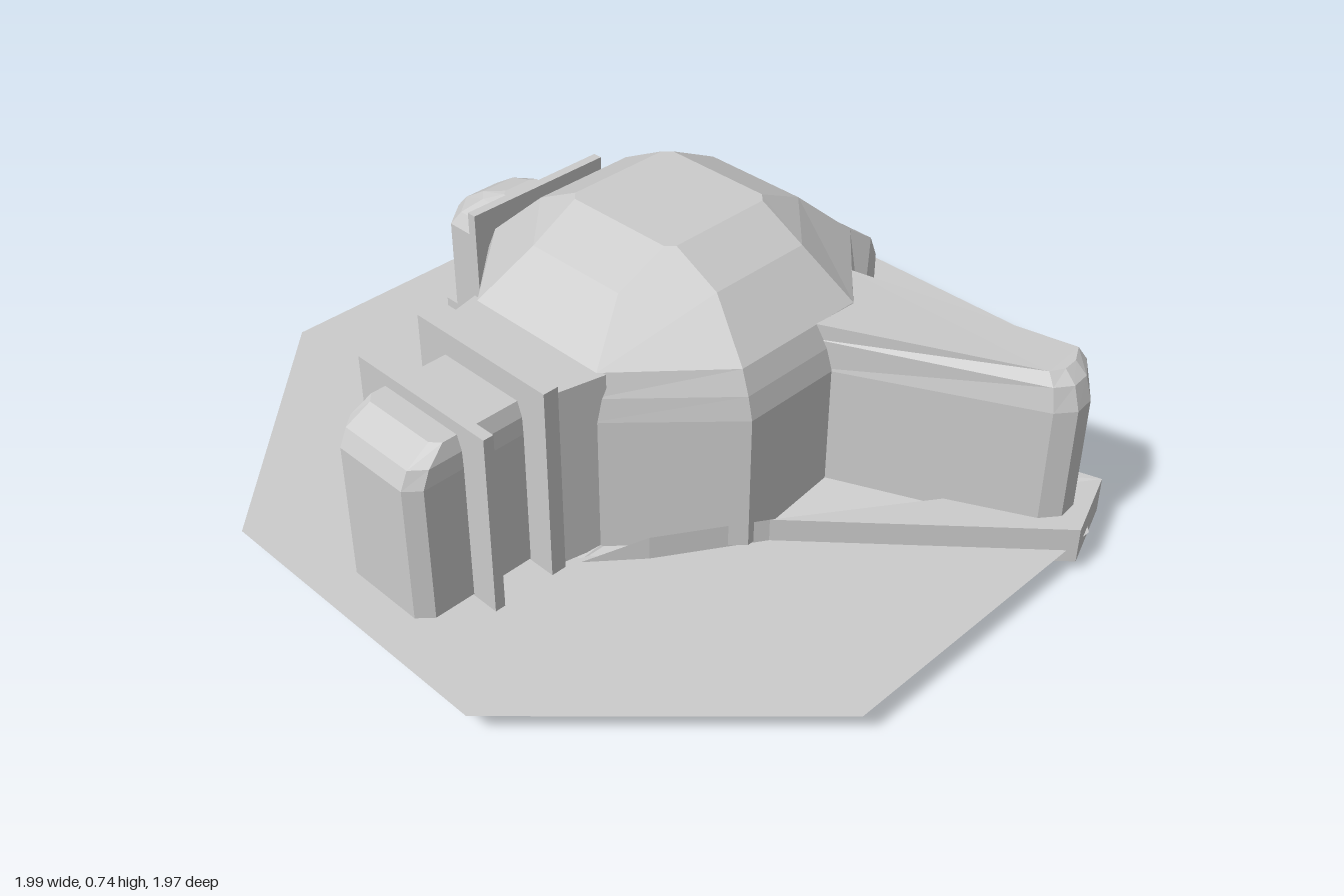
import * as THREE from 'three';

export function createModel() {
  const model = new THREE.Group();
  const mat = new THREE.MeshStandardMaterial({ color: 0xcccccc, flatShading: true });
  const sheet = new THREE.MeshStandardMaterial({ color: 0xcccccc, side: THREE.DoubleSide });

  const add = (name, geo, x = 0, y = 0, z = 0, m = mat) => {
    const mesh = new THREE.Mesh(geo, m);
    mesh.name = name;
    mesh.position.set(x, y, z);
    model.add(mesh);
  };

  // Box given by its limits
  const box = (name, x0, x1, y0, y1, z0, z1) =>
    add(name, new THREE.BoxGeometry(x1 - x0, y1 - y0, z1 - z0),
      (x0 + x1) / 2, (y0 + y1) / 2, (z0 + z1) / 2);

  // Flat-faced skin over stacked rings, counter-clockwise from above, with both ends closed
  const loft = (rings) => {
    const pos = [];
    const tri = (a, b, c) => pos.push(...a, ...b, ...c);
    const n = rings[0].length;
    for (let r = 0; r < rings.length - 1; r++) {
      const lo = rings[r], hi = rings[r + 1];
      for (let i = 0; i < n; i++) {
        const j = (i + 1) % n;
        tri(lo[i], lo[j], hi[j]);
        tri(lo[i], hi[j], hi[i]);
      }
    }
    const bottom = rings[0], top = rings[rings.length - 1];
    for (let i = 1; i < n - 1; i++) {
      tri(top[0], top[i], top[i + 1]);
      tri(bottom[0], bottom[i + 1], bottom[i]);
    }
    const geo = new THREE.BufferGeometry();
    geo.setAttribute('position', new THREE.Float32BufferAttribute(pos, 3));
    geo.computeVertexNormals();
    return geo;
  };

  // Eight-sided ring: height, half sizes, half lengths of the straight sides, front reach
  const oct = ([y, ax, az, cx, cz, front = az]) => [
    [ax, cz], [ax, -cz], [cx, -az], [-cx, -az], [-ax, -cz], [-ax, cz], [-cx, front], [cx, front],
  ].map(([x, z]) => [x, y, z]);

  // Ground sheet
  const ground = new THREE.CircleGeometry(1.068, 8, Math.PI / 8);
  ground.rotateX(-Math.PI / 2);
  add('ground', ground, -0.01, 0.068, 0, sheet);

  // Domed main building, bulging out at the back, with a square crown
  add('dome', loft([
    [0.072, 0.45, 0.535, 0.2, 0.19, 0.45],
    [0.43, 0.45, 0.535, 0.2, 0.19, 0.45],
    [0.49, 0.437, 0.51, 0.2, 0.19, 0.44],
    [0.55, 0.413, 0.425, 0.2, 0.185, 0.42],
    [0.67, 0.29, 0.295, 0.14, 0.14],
    [0.735, 0.165, 0.16, 0.145, 0.14],
  ].map(oct)));

  // Stepped sump under the ground
  [[0.145, 0.05], [0.1, 0.04], [0.07, 0.03]].forEach(([r, y]) => {
    const sump = new THREE.CylinderGeometry(r, r, 0.03, 8);
    sump.rotateY(Math.PI / 8);
    add('sump', sump, 0, y + 0.015, 0);
  });

  // Foundation in two pieces curving round the dome; the front edges slope into the ground
  const foundation = (name, plan) => {
    const geo = new THREE.ExtrudeGeometry(
      new THREE.Shape(plan.map(([x, z]) => new THREE.Vector2(x, -z))),
      { depth: 0.095, bevelEnabled: false });
    geo.rotateX(-Math.PI / 2);
    const p = geo.attributes.position;
    for (let i = 0; i < p.count; i++) {
      if (p.getZ(i) > 0.4 && p.getY(i) > 0.05) p.setY(i, 0.028);
    }
    geo.computeVertexNormals();
    add(name, geo, 0, 0.035, 0);
  };
  foundation('wingFoundation', [
    [0.21, 0.51], [0.32, 0.38], [0.47, 0.14], [0.995, -0.335], [0.925, -0.525], [0.32, -0.34],
    [0.23, -0.42], [0.11, -0.29], [0.24, -0.14], [0.27, 0], [0.23, 0.17], [0.11, 0.32],
  ]);
  foundation('bayFoundation', [
    [-0.735, -0.17], [-0.735, 0.145], [-0.49, 0.15], [-0.32, 0.38], [-0.21, 0.51], [-0.08, 0.41],
    [-0.15, 0.22], [-0.24, 0.08], [-0.27, -0.12], [-0.17, -0.28], [-0.31, -0.37], [-0.46, -0.17],
  ]);

  // Tapering front porch
  add('porch', loft([0.072, 0.55].map((y) => [
    [0.19, y, 0.55], [0.22, y, 0.41], [-0.22, y, 0.41], [-0.19, y, 0.55],
  ])));

  // Two upright frames and the entrance between and beyond them
  box('innerDoorFrame', -0.22, 0.205, 0, 0.575, 0.535, 0.575);
  box('outerDoorFrame', -0.22, 0.205, 0, 0.545, 0.715, 0.742);
  add('entrance', loft([
    [0.072, 0.137, 0.235, 0.105, 0.2],
    [0.43, 0.137, 0.235, 0.105, 0.2],
    [0.475, 0.135, 0.215, 0.105, 0.18],
    [0.512, 0.122, 0.15, 0.1, 0.13],
  ].map(oct)), -0.006, 0, 0.65);

  // Right side bay with wall plate, step and round lamp
  box('bayPlate', -0.472, -0.447, 0.1, 0.585, -0.2, 0.22);
  add('bay', loft([
    [0.1, 0.23, 0.13, 0.17, 0.055],
    [0.43, 0.23, 0.13, 0.17, 0.055],
    [0.465, 0.2, 0.11, 0.15, 0.05],
    [0.51, 0.13, 0.075, 0.1, 0.05],
    [0.54, 0.05, 0.055, 0.04, 0.04],
  ].map(oct)), -0.5, 0, -0.005);
  box('bayStep', -0.745, -0.58, 0.13, 0.155, -0.11, 0.1);
  add('lamp', new THREE.SphereGeometry(0.042, 10, 8), -0.722, 0.23, 0);

  // Left rear wing, narrowing to a bevelled end
  const end = [[0.9, -0.3], [0.935, -0.345], [0.93, -0.4], [0.885, -0.46]];
  const root = [[0.3, -0.28], [0.4, -0.05]];
  const wing = (yEnd, yRoot, shrink) => [
    ...end.map(([x, z]) => [
      x + (0.82 - x) * shrink, yEnd, z + (-0.38 - z) * shrink * 0.5,
    ]),
    ...root.map(([x, z]) => [x, yRoot, z]),
  ];
  add('wing', loft([
    wing(0.1, 0.1, 0), wing(0.43, 0.43, 0), wing(0.49, 0.51, 0.17), wing(0.518, 0.552, 0.45),
  ]));

  return model;
}
